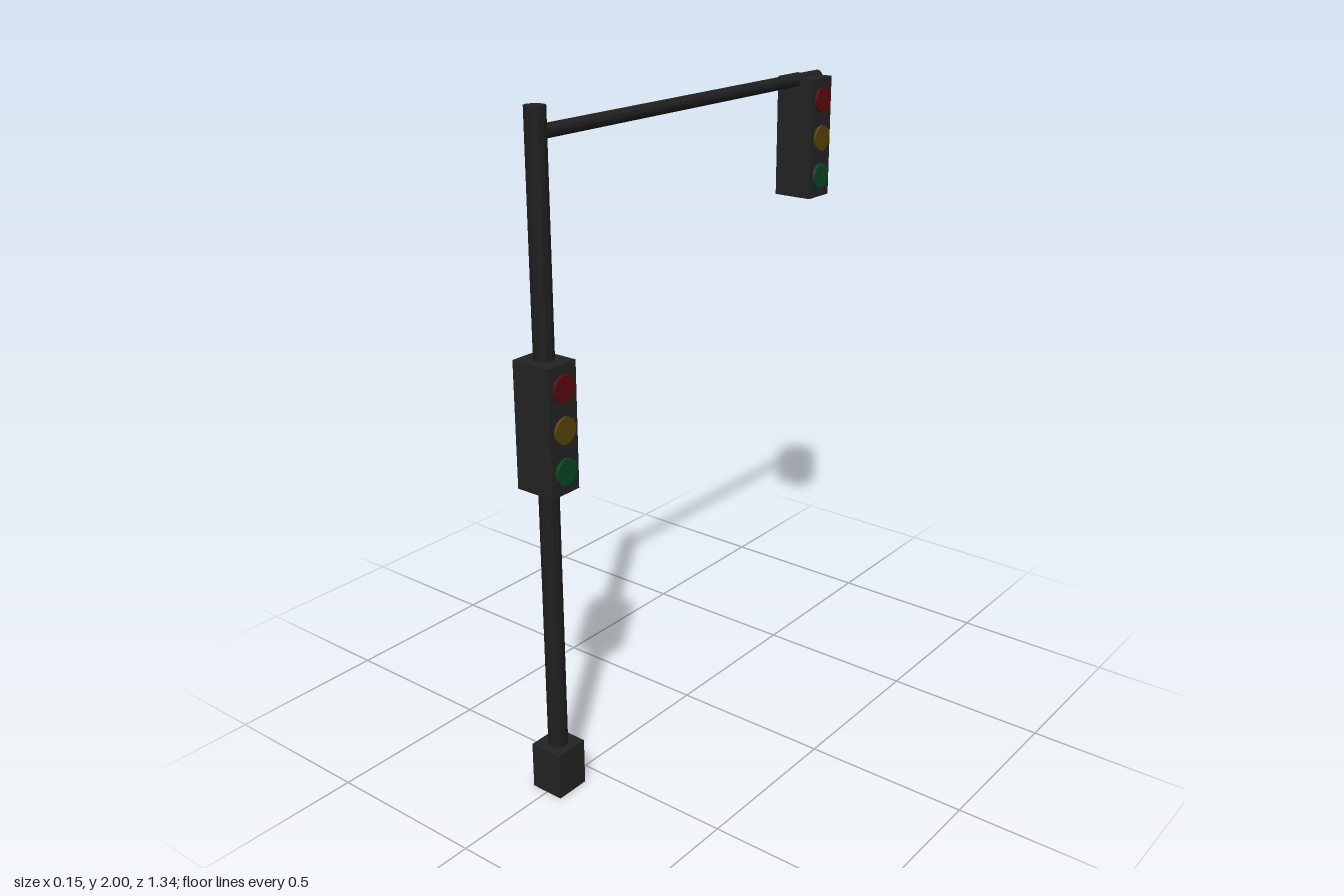
import * as THREE from 'three';

const mat = (name, color, flat = false) => {
  const m = new THREE.MeshStandardMaterial({ color, flatShading: flat });
  m.name = name;
  return m;
};

export function createModel() {
  const poleMetal = mat('pole metal', 0x1f1f1f, true);
  const housingBlack = mat('housing black', 0x232323);
  const lensColours = [
    ['red', mat('red lens', 0x5c0a0d)],
    ['yellow', mat('yellow lens', 0x58430b)],
    ['green', mat('green lens', 0x0a4625)],
  ];

  const model = new THREE.Group();
  model.name = 'trafficLight';
  const POLE_Z = 0.615;

  const add = (parent, name, geometry, material, x, y, z) => {
    const mesh = new THREE.Mesh(geometry, material);
    mesh.name = name;
    mesh.position.set(x, y, z);
    parent.add(mesh);
    return mesh;
  };

  // Base block, upright pole and the arm reaching backwards
  add(model, 'base', new THREE.BoxGeometry(0.106, 0.144, 0.108), housingBlack, 0, 0.072, POLE_Z);
  add(model, 'pole', new THREE.CylinderGeometry(0.03, 0.03, 1.9, 12), poleMetal, 0, 1.05, POLE_Z);
  const arm = new THREE.CylinderGeometry(0.02, 0.02, 1.284, 12).rotateX(Math.PI / 2);
  add(model, 'arm', arm, poleMetal, 0, 1.931, -0.027);

  // Signal box with three round lenses on each side
  const boxGeometry = new THREE.BoxGeometry(0.128, 0.372, 0.107);
  const lensGeometry = new THREE.CylinderGeometry(0.039, 0.039, 0.02, 24).rotateZ(Math.PI / 2);
  const addSignal = (name, y, z) => {
    const signal = new THREE.Group();
    signal.name = name;
    signal.position.set(0, y, z);
    add(signal, 'housing', boxGeometry, housingBlack, 0, 0, 0);
    for (const side of [1, -1]) {
      lensColours.forEach(([colour, material], i) => {
        add(signal, `${colour}Lens`, lensGeometry, material, side * 0.063, (1 - i) * 0.119, 0);
      });
    }
    model.add(signal);
  };
  addSignal('poleSignal', 1.146, POLE_Z);
  addSignal('armSignal', 1.753, -0.599);

  return model;
}
